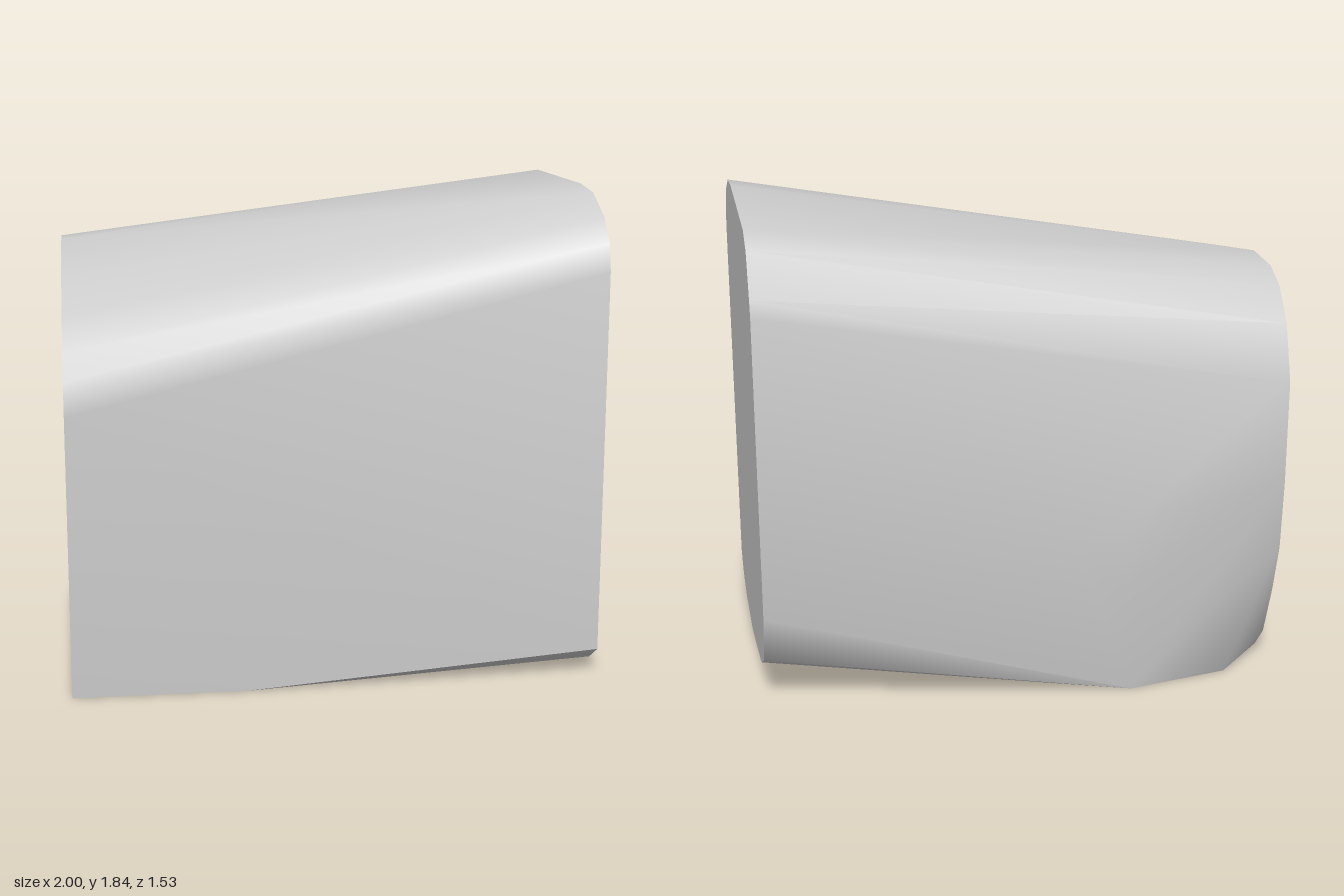
import * as THREE from 'three';
import { ConvexGeometry } from 'three/addons/geometries/ConvexGeometry.js';
import { toCreasedNormals } from 'three/addons/utils/BufferGeometryUtils.js';

// Outline of the tall end, as [z, y]
const tallEnd = [
  [0.71, 0.1], [0.6, 0.03], [0.44, 0], [0.1, 0], [-0.07, 0.03], [-0.42, 0.1],
  [-0.59, 0.19], [-0.66, 0.39], [-0.65, 1.55], [-0.63, 1.61], [-0.55, 1.77],
  [-0.44, 1.82], [0.25, 1.835], [0.44, 1.82], [0.61, 1.745], [0.69, 1.66], [0.715, 1.56],
];

// Outline of the low end, as [z, y]
const lowEnd = [
  [0.72, 0], [-0.43, 0], [-0.52, 0.1], [-0.6, 0.31], [-0.66, 0.52], [-0.68, 0.8],
  [-0.68, 1.2], [-0.61, 1.41], [-0.51, 1.53], [-0.4, 1.58], [-0.2, 1.59],
  [0.26, 1.5], [0.51, 1.4], [0.67, 1.3], [0.74, 1.2], [0.765, 1.08],
];

// Bulge on the back and corners of the flat underside, as [x, y, z]
const bulge = [
  [-0.4, 0.73, -0.765], [-0.18, 0.62, -0.763], [-0.35, 0.45, -0.758],
  [-0.4, 0, -0.72], [-0.8, 0, -0.64], [-0.35, 0, 0.725],
];

export function createModel() {
  const group = new THREE.Group();
  group.name = 'roundedBlock';

  const stone = new THREE.MeshStandardMaterial({ color: 0xcccccc });
  stone.name = 'light grey';

  // One convex skin stretched over both ends and the bulge
  const points = [
    ...tallEnd.map(([z, y]) => new THREE.Vector3(1, y, z)),
    ...lowEnd.map(([z, y]) => new THREE.Vector3(-1, y, z)),
    ...bulge.map((p) => new THREE.Vector3(...p)),
  ];
  const block = new THREE.Mesh(toCreasedNormals(new ConvexGeometry(points), 0.8), stone);
  block.name = 'block';
  group.add(block);
  return group;
}
